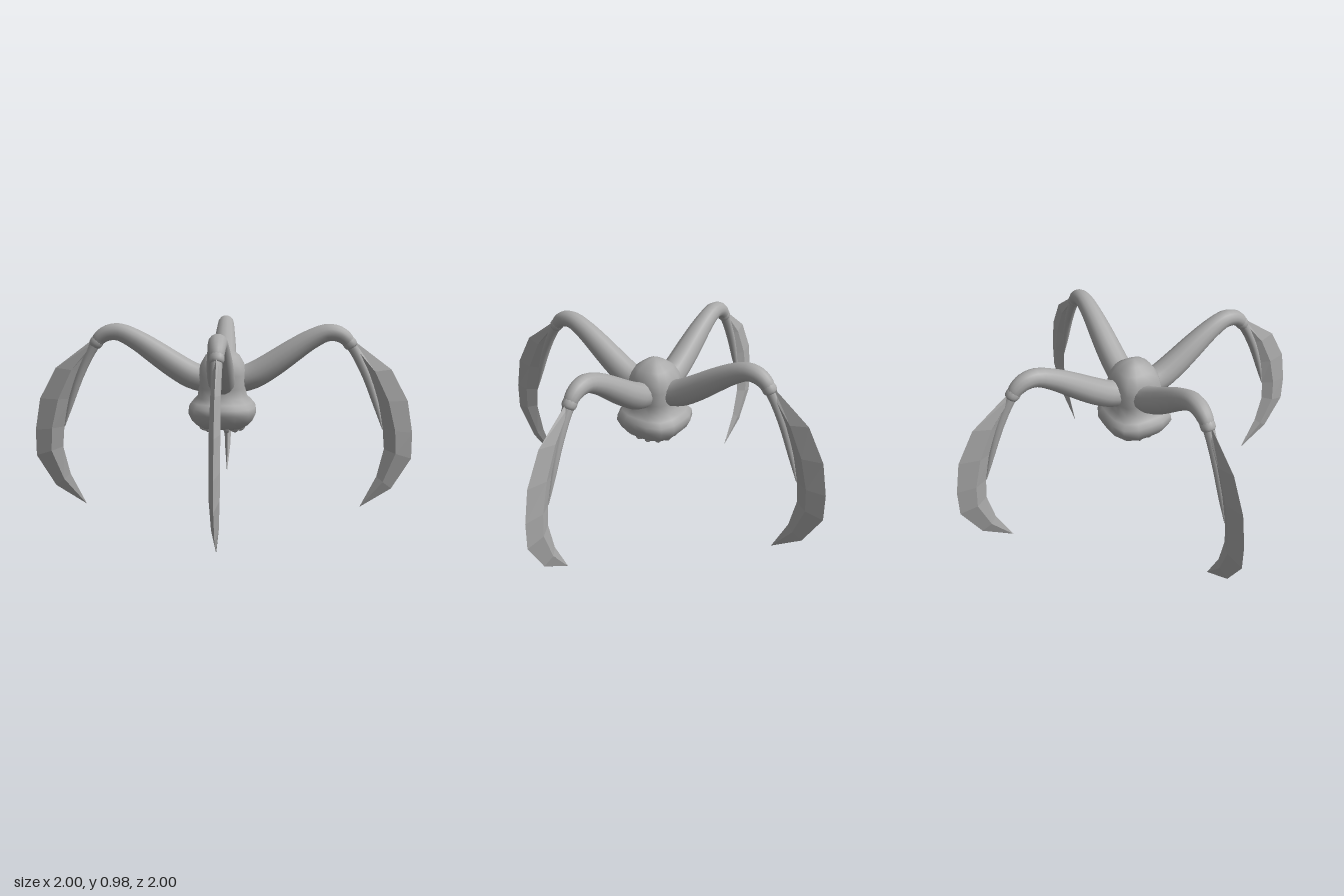
import * as THREE from 'three';
import { mergeVertices } from 'three/addons/utils/BufferGeometryUtils.js';

// Tapered tube in the XY plane; each point is [x, y, radius]
function taperedTube(points, sides, steps) {
  const curve = new THREE.CatmullRomCurve3(points.map(p => new THREE.Vector3(...p)));
  const geo = new THREE.CylinderGeometry(1, 1, 1, sides, steps);
  const pos = geo.attributes.position;
  for (let i = 0; i < pos.count; i++) {
    const t = THREE.MathUtils.clamp(pos.getY(i) + 0.5, 0, 1);
    const c = curve.getPoint(t);
    const d = curve.getTangent(t).setZ(0).normalize();
    const a = pos.getX(i) * c.z;
    pos.setXYZ(i, c.x + d.y * a, c.y - d.x * a, pos.getZ(i) * c.z);
  }
  return smooth(geo);
}

// Weld seams and recompute soft normals
function smooth(geo) {
  geo.deleteAttribute('uv');
  geo.deleteAttribute('normal');
  const g = mergeVertices(geo, 1e-4);
  g.computeVertexNormals();
  return g;
}

// Faceted sickle blade: diamond sections [outerX, outerY, innerX, innerY, halfThickness]
function bladeGeometry() {
  const sections = [
    [0.68, 0.895, 0.665, 0.87, 0.012],
    [0.88, 0.745, 0.735, 0.73, 0.022],
    [0.97, 0.58, 0.8, 0.58, 0.025],
    [1.0, 0.41, 0.845, 0.43, 0.025],
    [1.0, 0.27, 0.855, 0.32, 0.024],
    [0.9, 0.105, 0.82, 0.17, 0.017],
    [0.74, 0.005, 0.735, 0.0, 0.001],
  ];
  const rings = sections.map(([ox, oy, ix, iy, h]) => {
    const mx = ix + (ox - ix) * 0.4, my = iy + (oy - iy) * 0.4;
    return [[ox, oy, 0], [mx, my, h], [ix, iy, 0], [mx, my, -h]];
  });
  const v = [];
  const quad = (a, b, c, d) => v.push(...a, ...b, ...c, ...a, ...c, ...d);
  for (let i = 0; i < rings.length - 1; i++) {
    for (let k = 0; k < 4; k++) {
      const n = (k + 1) % 4;
      quad(rings[i][k], rings[i][n], rings[i + 1][n], rings[i + 1][k]);
    }
  }
  quad(rings[0][3], rings[0][2], rings[0][1], rings[0][0]);
  const geo = new THREE.BufferGeometry();
  geo.setAttribute('position', new THREE.Float32BufferAttribute(v, 3));
  geo.computeVertexNormals();
  return geo;
}

// Rounded-square body with flared skirt and hollow mouth
function bodyGeometry() {
  const profile = [
    [0, 0.53], [0.06, 0.52], [0.095, 0.49], [0.105, 0.455], [0.12, 0.44],
    [0.145, 0.455], [0.17, 0.48], [0.19, 0.52], [0.186, 0.55], [0.165, 0.575],
    [0.138, 0.6], [0.132, 0.65], [0.134, 0.72], [0.122, 0.77], [0.095, 0.815],
    [0.05, 0.845], [0, 0.865],
  ].map(p => new THREE.Vector2(...p));
  const geo = new THREE.LatheGeometry(profile, 16);
  const pos = geo.attributes.position;
  for (let i = 0; i < pos.count; i++) {
    const x = pos.getX(i), z = pos.getZ(i);
    const s = 1 - 0.06 * Math.cos(4 * Math.atan2(z, x));
    pos.setXYZ(i, x * s, pos.getY(i), z * s);
  }
  return smooth(geo);
}

export function createModel() {
  const model = new THREE.Group();
  model.name = 'fourLeggedCreature';
  const grey = new THREE.MeshStandardMaterial({ color: 0xaaaaaa });
  grey.name = 'grey';
  const add = (parent, geo, name) => {
    const mesh = new THREE.Mesh(geo, grey);
    mesh.name = name;
    parent.add(mesh);
    return mesh;
  };

  add(model, bodyGeometry(), 'body');

  // Legs: arched thigh, joint collar, thin shin bone and blade
  const thigh = taperedTube([
    [0.08, 0.685, 0.068], [0.16, 0.71, 0.07], [0.25, 0.762, 0.068], [0.35, 0.83, 0.062],
    [0.45, 0.895, 0.053], [0.54, 0.935, 0.046], [0.6, 0.93, 0.042], [0.64, 0.905, 0.037],
    [0.655, 0.885, 0.033],
  ], 14, 24);
  const collar = taperedTube([
    [0.645, 0.9, 0.031], [0.655, 0.887, 0.035], [0.668, 0.87, 0.034], [0.675, 0.86, 0.026],
  ], 12, 6);
  const shin = taperedTube([
    [0.66, 0.882, 0.028], [0.7, 0.815, 0.025], [0.755, 0.7, 0.022],
    [0.805, 0.56, 0.016], [0.843, 0.43, 0.002],
  ], 10, 12);
  const blade = bladeGeometry();
  for (let i = 0; i < 4; i++) {
    const leg = new THREE.Group();
    leg.name = ['leftLeg', 'backLeg', 'rightLeg', 'frontLeg'][i];
    add(leg, thigh, 'thigh');
    add(leg, collar, 'jointCollar');
    add(leg, shin, 'shin');
    add(leg, blade, 'blade');
    leg.rotation.y = i * Math.PI / 2;
    model.add(leg);
  }

  // Curled feelers around the mouth
  const feeler = taperedTube([
    [0.1, 0.48, 0.015], [0.112, 0.445, 0.015], [0.095, 0.432, 0.014],
    [0.065, 0.438, 0.012], [0.035, 0.465, 0.007],
  ], 8, 10);
  for (let i = 0; i < 12; i++) {
    add(model, feeler, 'mouthFeeler').rotation.y = (i + 0.5) * Math.PI / 6;
  }
  return model;
}
